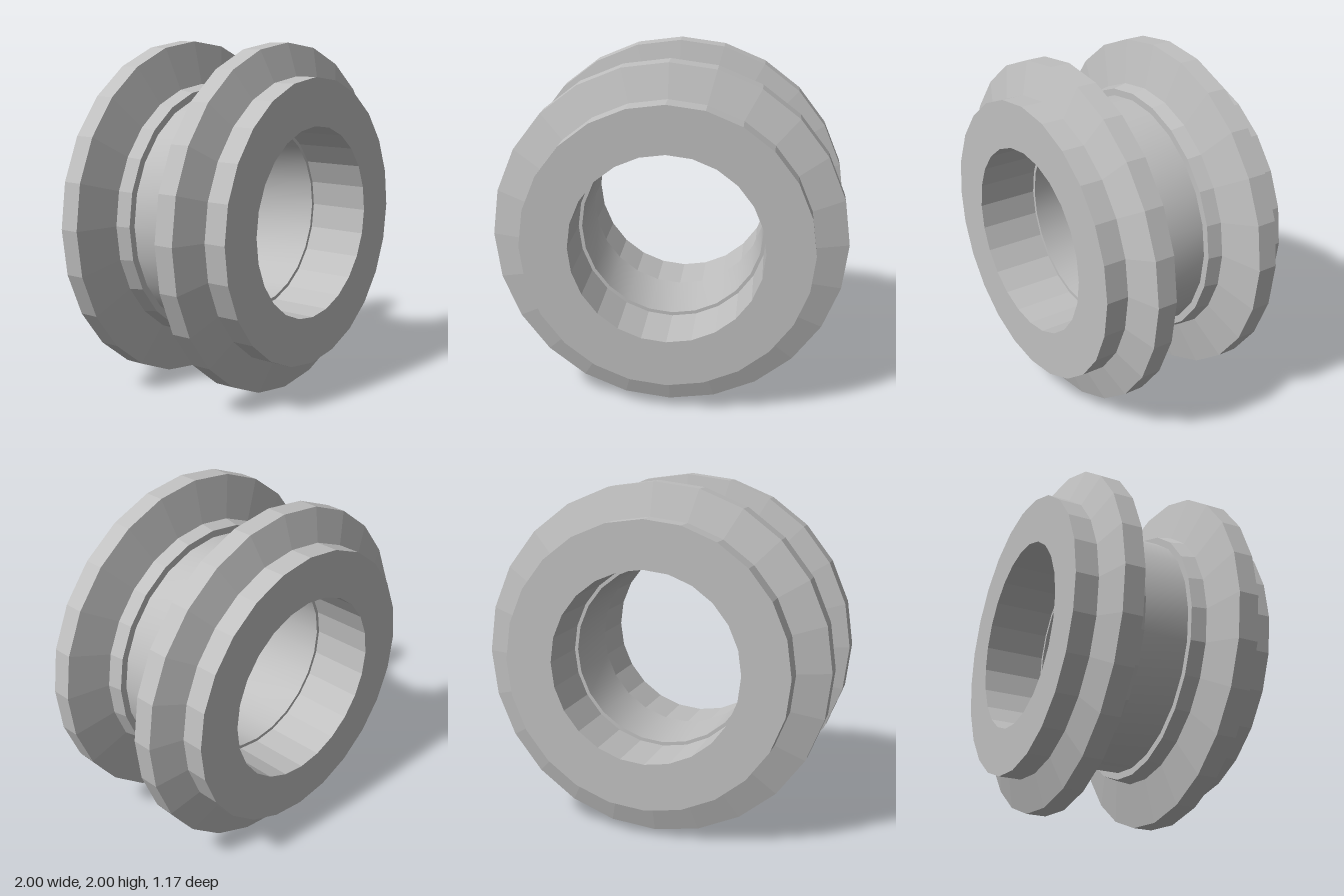
import * as THREE from 'three';
import { toCreasedNormals } from 'three/addons/utils/BufferGeometryUtils.js';

const SIDES = 24;

// Revolve a [radius, z] profile around the z axis; edges sharper than `crease` stay hard
function revolve(profile, crease) {
  const points = profile.map(([r, z]) => new THREE.Vector2(r, z));
  const geometry = new THREE.LatheGeometry(points, SIDES);
  geometry.rotateX(Math.PI / 2);
  return toCreasedNormals(geometry, crease);
}

export function createModel() {
  const group = new THREE.Group();
  group.name = 'flangedSpool';

  const grey = new THREE.MeshStandardMaterial({ color: 0xc0c0c0 });
  grey.name = 'lightGrey';

  // Faceted flange: collar, bevelled rim, hub, end face and bore
  const flangeGeometry = revolve([
    [0.69, 0.14], [0.735, 0.14], [0.75, 0.225], [1, 0.28], [1, 0.395],
    [0.815, 0.455], [0.815, 0.585], [0.545, 0.585], [0.545, 0.225],
  ], 0.01);
  for (const [name, turn] of [['frontFlange', 0], ['backFlange', Math.PI]]) {
    const flange = new THREE.Mesh(flangeGeometry, grey);
    flange.name = name;
    flange.rotation.y = turn;
    flange.position.y = 1;
    group.add(flange);
  }

  // Smooth sleeve joining the flanges, slightly narrower inside than their bores
  const sleeve = new THREE.Mesh(revolve([
    [0.525, -0.225], [0.695, -0.225], [0.695, 0.225], [0.525, 0.225], [0.525, -0.225],
  ], 0.6), grey);
  sleeve.name = 'centreSleeve';
  sleeve.position.y = 1;
  group.add(sleeve);

  return group;
}
